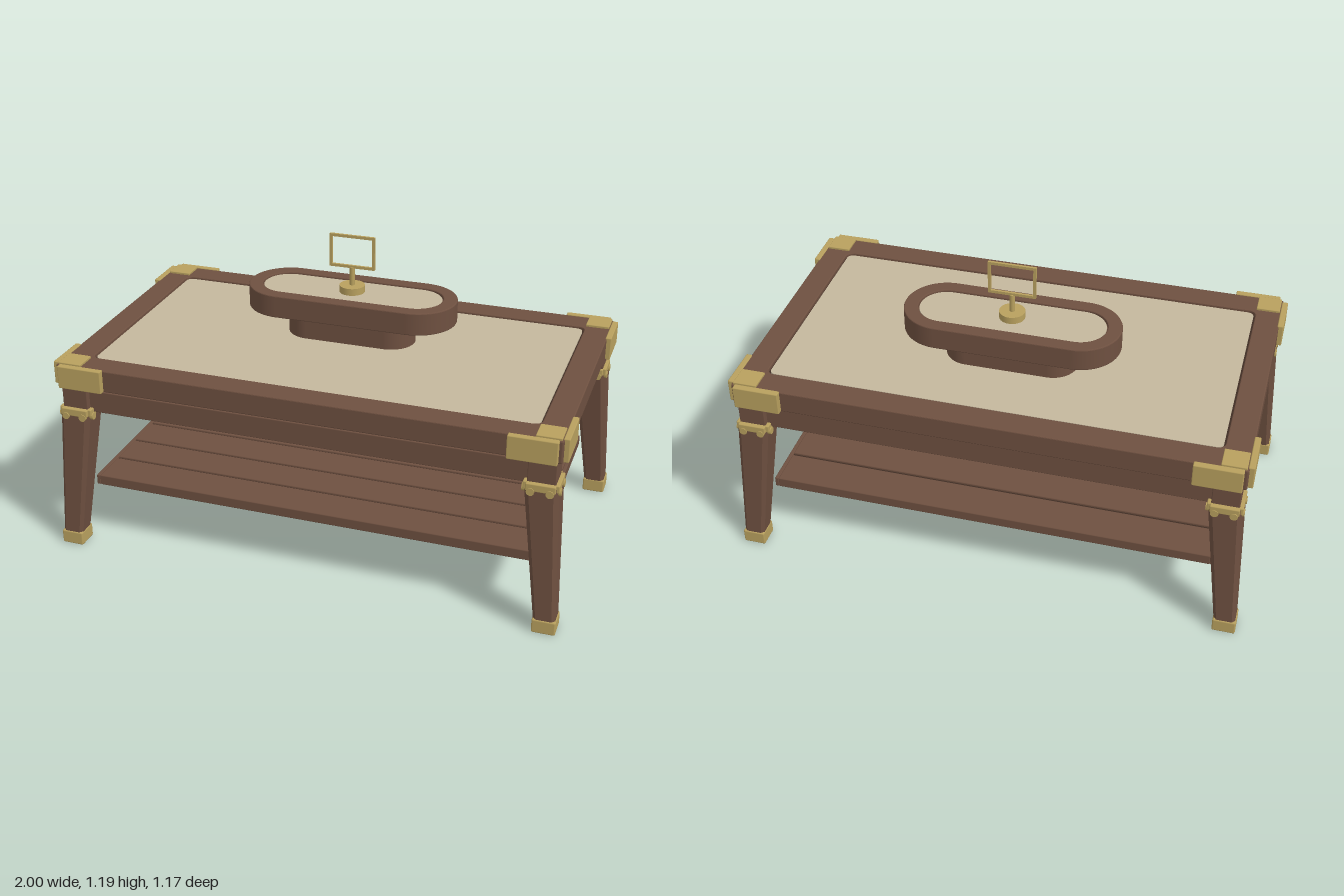
import * as THREE from 'three';
import { RoundedBoxGeometry } from 'three/addons/geometries/RoundedBoxGeometry.js';

const mat = (name, color, extra = {}) => {
  const m = new THREE.MeshStandardMaterial({ color, ...extra });
  m.name = name;
  return m;
};

// Rounded rectangle outline; r = half the short side gives a stadium
function roundRect(P, w, d, r) {
  const p = new P(), x = w / 2, y = d / 2;
  p.moveTo(-x + r, -y);
  p.lineTo(x - r, -y);
  p.absarc(x - r, -y + r, r, -Math.PI / 2, 0, false);
  p.lineTo(x, y - r);
  p.absarc(x - r, y - r, r, 0, Math.PI / 2, false);
  p.lineTo(-x + r, y);
  p.absarc(-x + r, y - r, r, Math.PI / 2, Math.PI, false);
  p.lineTo(-x, -y + r);
  p.absarc(-x + r, -y + r, r, Math.PI, Math.PI * 1.5, false);
  return p;
}

// Extrude an outline upward from y0 to y1, with small bevelled edges
function slab(shape, y0, y1, bevel = 0) {
  const g = new THREE.ExtrudeGeometry(shape, {
    depth: y1 - y0 - 2 * bevel, curveSegments: 20, bevelEnabled: bevel > 0,
    bevelThickness: bevel, bevelSize: bevel, bevelOffset: -bevel, bevelSegments: 2,
  });
  return g.rotateX(-Math.PI / 2).translate(0, y0 + bevel, 0);
}

// Splayed, chamfered leg shaft: narrows and moves outward toward the floor
function legGeometry() {
  const s = new THREE.Shape(), h = 1, c = 0.72;
  [[c, -h], [h, -c], [h, c], [c, h], [-c, h], [-h, c], [-h, -c], [-c, -h]]
    .forEach(([x, y], i) => (i ? s.lineTo(x, y) : s.moveTo(x, y)));
  const g = slab(s, 0.05, 0.597), p = g.attributes.position;
  for (let i = 0; i < p.count; i++) {
    const t = (p.getY(i) - 0.05) / 0.547;
    const half = THREE.MathUtils.lerp(0.041, 0.063, t);
    p.setX(i, THREE.MathUtils.lerp(0.955, 0.907, t) + p.getX(i) * half);
    p.setZ(i, THREE.MathUtils.lerp(0.54, 0.5, t) + p.getZ(i) * half);
  }
  g.computeVertexNormals();
  return g;
}

export function createModel() {
  const wood = mat('walnut wood', 0x6e5040);
  const dark = mat('dark wood groove', 0x3f2d24);
  const brass = mat('brass', 0xb8a05e);
  const cloth = mat('beige cloth', 0xc4b79d);
  const model = new THREE.Group();
  model.name = 'table';

  const add = (parent, name, geometry, material, x = 0, y = 0, z = 0) => {
    const m = new THREE.Mesh(geometry, material);
    m.name = name;
    m.position.set(x, y, z);
    parent.add(m);
    return m;
  };
  // Softly bevelled box given by its extents
  const block = (parent, name, material, x0, x1, y0, y1, z0, z1, r = 0.004) =>
    add(parent, name, new RoundedBoxGeometry(x1 - x0, y1 - y0, z1 - z0, 1, r), material,
      (x0 + x1) / 2, (y0 + y1) / 2, (z0 + z1) / 2);

  // Table top: frame, dark lining and inset cloth
  const frame = roundRect(THREE.Shape, 1.95, 1.1, 0.008);
  frame.holes.push(roundRect(THREE.Path, 1.75, 0.89, 0.03));
  add(model, 'topFrame', slab(frame, 0.69, 0.778, 0.004), wood);
  add(model, 'topBase', slab(roundRect(THREE.Shape, 1.77, 0.91, 0.03), 0.7, 0.764), dark);
  add(model, 'topCloth', slab(roundRect(THREE.Shape, 1.736, 0.876, 0.025), 0.764, 0.772), cloth);

  // Apron rails, leaving a narrow gap under the top
  for (const s of [-1, 1]) {
    block(model, 'longApron', wood, -0.88, 0.88, 0.586, 0.676, s * 0.4975 - 0.03, s * 0.4975 + 0.03);
    block(model, 'shortApron', wood, s * 0.907 - 0.03, s * 0.907 + 0.03, 0.586, 0.676, -0.47, 0.47);
  }

  // Planked lower shelf
  const shelf = new THREE.Group();
  shelf.name = 'shelf';
  model.add(shelf);
  block(shelf, 'shelfCore', dark, -0.875, 0.875, 0.238, 0.264, -0.468, 0.468);
  const planks = 6, pitch = 0.95 / planks;
  for (let i = 0; i < planks; i++) {
    const z = -0.475 + i * pitch;
    block(shelf, 'shelfPlank', wood, -0.87, 0.87, 0.23, 0.272, z + (i ? 0.006 : 0),
      z + pitch - (i < planks - 1 ? 0.006 : 0));
  }
  for (const s of [-1, 1])
    block(shelf, 'shelfEnd', wood, s * 0.877 - 0.008, s * 0.877 + 0.008, 0.23, 0.272, -0.475, 0.475);

  // Leg and brass corner, built at +x +z and turned or mirrored to each corner
  const shaft = legGeometry();
  const knob = new THREE.CylinderGeometry(0.015, 0.015, 0.14, 12);
  const mirrored = (g, sx, sz) => {
    const c = g.clone().scale(sx, 1, sz);
    if (sx * sz < 0) {
      const flat = c.index ? c.toNonIndexed() : c;
      for (const a of Object.values(flat.attributes)) {
        const n = a.itemSize;
        for (let i = 0; i < a.count; i += 3)
          for (let k = 0; k < n; k++) {
            const t = a.array[(i + 1) * n + k];
            a.array[(i + 1) * n + k] = a.array[(i + 2) * n + k];
            a.array[(i + 2) * n + k] = t;
          }
      }
      flat.computeVertexNormals();
      return flat;
    }
    return c;
  };
  for (const sx of [-1, 1]) for (const sz of [-1, 1]) {
    const corner = new THREE.Group();
    corner.name = (sz > 0 ? 'front' : 'back') + (sx > 0 ? 'Left' : 'Right') + 'Corner';
    model.add(corner);
    const part = (name, material, x0, x1, y0, y1, z0, z1, r) =>
      block(corner, name, material, Math.min(sx * x0, sx * x1), Math.max(sx * x0, sx * x1), y0, y1,
        Math.min(sz * z0, sz * z1), Math.max(sz * z0, sz * z1), r);
    add(corner, 'leg', mirrored(shaft, sx, sz), wood);
    part('legPost', wood, 0.855, 0.959, 0.59, 0.695, 0.446, 0.549);
    part('foot', brass, 0.911, 1, 0, 0.056, 0.497, 0.585, 0.006);
    // Collar plates with round studs on every face
    part('collar', brass, 0.853, 0.961, 0.574, 0.604, 0.434, 0.567);
    part('collar', brass, 0.841, 0.973, 0.574, 0.604, 0.446, 0.554);
    for (const o of [-0.035, 0.035]) {
      add(corner, 'collarStud', knob, brass, sx * 0.907 + o, 0.573, sz * 0.5).rotation.x = Math.PI / 2;
      add(corner, 'collarStud', knob, brass, sx * 0.907, 0.573, sz * 0.5 + o).rotation.z = Math.PI / 2;
    }
    // Brass plates on the top frame
    part('frontPlate', brass, 0.78, 0.96, 0.69, 0.782, 0.545, 0.572);
    part('sidePlate', brass, 0.97, 0.994, 0.69, 0.782, 0.355, 0.535);
    part('topPlate', brass, 0.875, 0.968, 0.77, 0.787, 0.455, 0.545, 0.003);
  }

  // Raised oval tray on a pedestal
  const tray = new THREE.Group();
  tray.name = 'tray';
  tray.position.z = -0.094;
  model.add(tray);
  add(tray, 'pedestal', slab(roundRect(THREE.Shape, 0.52, 0.2, 0.0995), 0.77, 0.88), wood);
  const rim = roundRect(THREE.Shape, 0.848, 0.322, 0.1605);
  rim.holes.push(roundRect(THREE.Path, 0.736, 0.212, 0.1055));
  add(tray, 'trayRim', slab(rim, 0.872, 0.963, 0.004), wood);
  add(tray, 'trayBase', slab(roundRect(THREE.Shape, 0.75, 0.226, 0.1125), 0.874, 0.95), wood);
  add(tray, 'trayCloth', slab(roundRect(THREE.Shape, 0.728, 0.204, 0.1015), 0.95, 0.957), cloth);

  // Brass stand with an open rectangular frame
  add(tray, 'standBase', new THREE.CylinderGeometry(0.05, 0.05, 0.03, 32), brass, 0, 0.97, 0);
  add(tray, 'standPost', new THREE.CylinderGeometry(0.01, 0.01, 0.075, 16), brass, 0, 1.0205, 0);
  const holder = roundRect(THREE.Shape, 0.186, 0.135, 0.002);
  holder.holes.push(roundRect(THREE.Path, 0.164, 0.113, 0.002));
  add(tray, 'cardFrame', new THREE.ExtrudeGeometry(holder, { depth: 0.01, bevelEnabled: false }),
    brass, 0, 1.1225, -0.005);

  return model;
}
